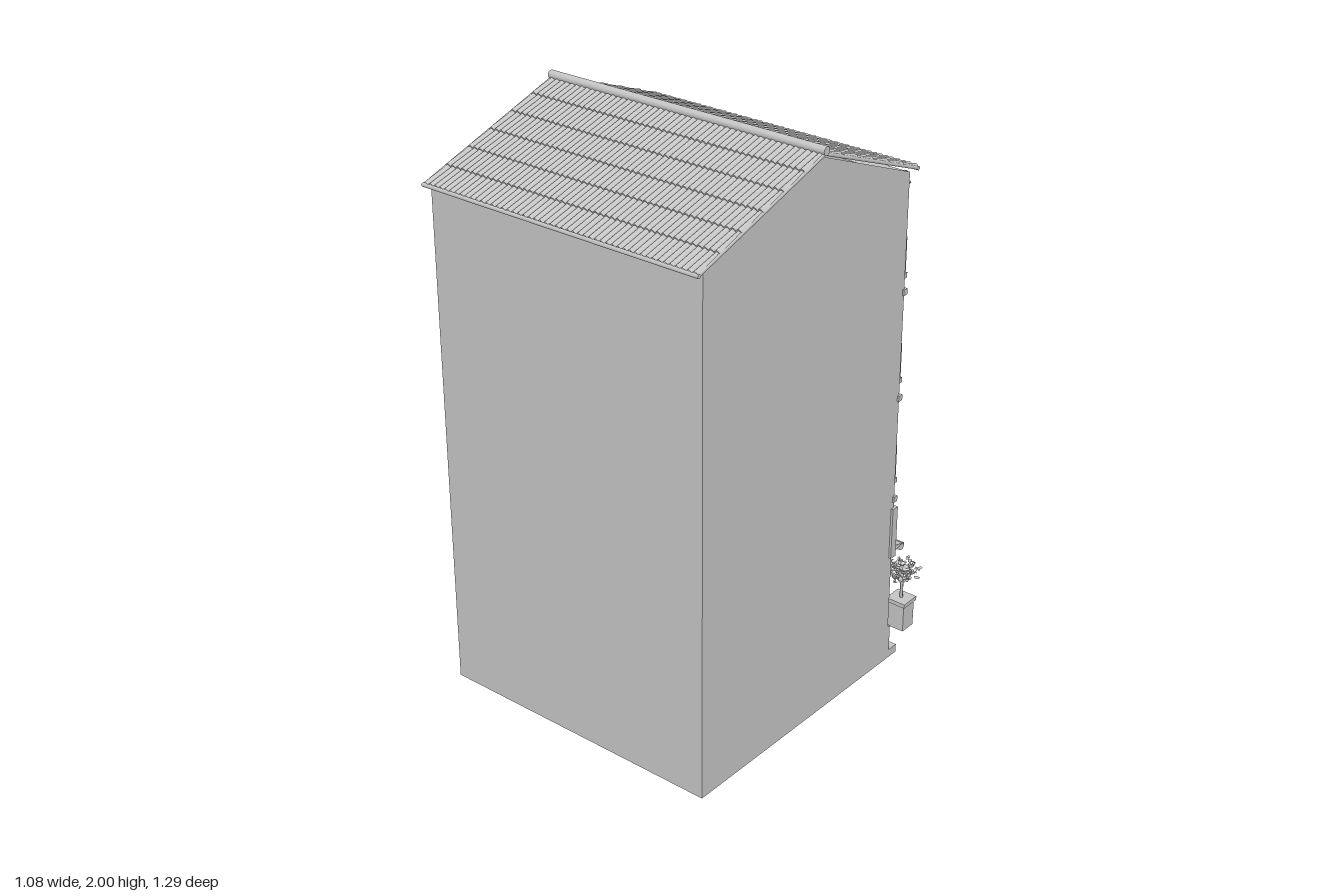
import * as THREE from 'three';
import { mergeGeometries } from 'three/addons/utils/BufferGeometryUtils.js';

const plaster = new THREE.MeshStandardMaterial({ color: 0xc4c4c4, side: THREE.DoubleSide });
plaster.name = 'light grey';
const glass = new THREE.MeshStandardMaterial({ color: 0x86b9cf, side: THREE.DoubleSide });
glass.name = 'blue glass';

let seed = 7;
const rnd = () => ((seed = (seed * 16807) % 2147483647) / 2147483647);
const V = (x, y, z) => new THREE.Vector3(x, y, z);

// Box given by its limits on each axis
function box(x0, x1, y0, y1, z0, z1) {
  return new THREE.BoxGeometry(x1 - x0, y1 - y0, z1 - z0)
    .translate((x0 + x1) / 2, (y0 + y1) / 2, (z0 + z1) / 2);
}

// Thin round bar between two points
function bar(a, b, r, sides = 5) {
  const d = b.clone().sub(a);
  const q = new THREE.Quaternion().setFromUnitVectors(V(0, 1, 0), d.clone().normalize());
  return new THREE.CylinderGeometry(r, r, d.length(), sides)
    .applyQuaternion(q).translate((a.x + b.x) / 2, (a.y + b.y) / 2, (a.z + b.z) / 2);
}

// Ribbed sheet running from a high edge to a low edge, with stepped rows of tiles
function ribbed(x0, x1, ribs, rows, amp, step, [y0, z0], [y1, z1]) {
  const seg = 6, n = ribs * seg, pos = [], idx = [];
  const len = Math.hypot(y1 - y0, z1 - z0);
  const ny = Math.abs(z1 - z0) / len, nz = Math.sign(z1 - z0) * (y0 - y1) / len;
  for (let j = 0; j < rows * 2; j++) {
    const t = Math.ceil(j / 2) / rows, lift = j % 2 ? step : 0;
    for (let i = 0; i <= n; i++) {
      const h = lift + amp * Math.abs(Math.sin((Math.PI * i) / seg));
      pos.push(x0 + ((x1 - x0) * i) / n, y0 + (y1 - y0) * t + ny * h, z0 + (z1 - z0) * t + nz * h);
    }
  }
  for (let j = 0; j < rows * 2 - 1; j++)
    for (let i = 0; i < n; i++) {
      const a = j * (n + 1) + i, b = a + n + 1;
      if (z1 > z0) idx.push(a, b, a + 1, a + 1, b, b + 1);
      else idx.push(a, a + 1, b, a + 1, b + 1, b);
    }
  let g = new THREE.BufferGeometry();
  g.setAttribute('position', new THREE.Float32BufferAttribute(pos, 3));
  g.setIndex(idx);
  g = g.toNonIndexed();
  g.computeVertexNormals();
  return g;
}

// Cloud of small leaf blades inside an ellipsoid
function leaves(c, rx, ry, rz, count, size) {
  const list = [];
  for (let i = 0; i < count; i++) {
    const d = V(rnd() - 0.5, rnd() - 0.5, rnd() - 0.5).normalize().multiplyScalar(0.35 + 0.6 * rnd());
    list.push(new THREE.CircleGeometry(size * (0.7 + 0.6 * rnd()), 5).scale(1, 0.6, 1)
      .rotateX(rnd() * 6).rotateY(rnd() * 6)
      .translate(c.x + d.x * rx, c.y + d.y * ry, c.z + d.z * rz));
  }
  return mergeGeometries(list);
}

export function createModel() {
  const root = new THREE.Group();
  root.name = 'townhouse';
  const add = (name, geos, mat = plaster, parent = root) => {
    const parts = [].concat(geos).map((g) => {
      const f = g.index ? g.toNonIndexed() : g;
      f.deleteAttribute('uv');
      return f;
    });
    const m = new THREE.Mesh(parts.length > 1 ? mergeGeometries(parts) : parts[0], mat);
    m.name = name;
    parent.add(m);
    return m;
  };
  const floors = [0.635, 1.01, 1.385];
  const bays = [-0.255, 0.255];

  // Plain walls, open below
  const gable = new THREE.Shape([[-0.62, 0], [0.38, 0], [0.38, 1.785], [-0.07, 1.965], [-0.62, 1.785]]
    .map(([a, b]) => new THREE.Vector2(a, b)));
  for (const s of [-1, 1]) add('sideWall', new THREE.ShapeGeometry(gable).rotateY(Math.PI / 2).translate(s * 0.53, 0, 0));
  add('plainWall', new THREE.PlaneGeometry(1.06, 1.785).translate(0, 0.8925, 0.62));

  // Street wall with openings for the shop and the balcony doors
  const rect = (P, x0, x1, y0, y1) => {
    const p = new P();
    p.moveTo(x0, y0); p.lineTo(x1, y0); p.lineTo(x1, y1); p.lineTo(x0, y1); p.closePath();
    return p;
  };
  const facade = rect(THREE.Shape, -0.53, 0.53, 0, 1.785);
  facade.holes.push(rect(THREE.Path, -0.49, 0.49, 0.06, 0.37));
  for (const y of floors) for (const x of bays)
    facade.holes.push(rect(THREE.Path, x - 0.12, x + 0.12, y + 0.01, y + 0.285));
  add('streetWall', new THREE.ExtrudeGeometry(facade, { depth: 0.04, bevelEnabled: false }).translate(0, 0, -0.38));
  add('stringCourses', floors.map((y) => box(-0.536, 0.536, y - 0.012, y + 0.008, -0.39, -0.37)));
  add('cornerBlocks', [-1, 1].map((s) => box(s * 0.52 - 0.018, s * 0.52 + 0.018, 0.41, 0.6, -0.393, -0.365)));
  add('plinth', [box(-0.53, 0.53, 0, 0.03, -0.435, -0.375), box(-0.53, 0.53, 0.03, 0.06, -0.39, -0.375),
    ...[-1, 1].map((s) => box(s * 0.51 - 0.02, s * 0.51 + 0.02, 0.03, 0.13, -0.392, -0.375))]);
  add('shopFloor', box(-0.485, 0.485, 0.03, 0.045, -0.37, 0.105));
  for (const s of [-1, 1]) add('drainpipe', bar(V(s * 0.505, 0.13, -0.39), V(s * 0.505, 1.78, -0.39), 0.007, 8));

  // Roof slopes, ridge and eaves
  const ridge = [1.975, 0.07];
  for (const eave of [[1.788, 0.645], [1.788, -0.415]]) {
    add('roofTiles', ribbed(-0.535, 0.535, 50, 6, 0.008, 0.005, ridge, eave));
    add('eaveRail', bar(V(-0.538, eave[0], eave[1]), V(0.538, eave[0], eave[1]), 0.007, 8));
    for (const s of [-1, 1]) add('bargeBoard', bar(V(s * 0.533, ridge[0], ridge[1]), V(s * 0.533, ...eave), 0.006));
    const len = Math.hypot(ridge[0] - eave[0], ridge[1] - eave[1]);
    add('roofUnderside', new THREE.PlaneGeometry(1.07, len)
      .rotateX(Math.PI / 2 + Math.atan2(ridge[0] - eave[0], eave[1] - ridge[1]))
      .translate(0, (ridge[0] + eave[0]) / 2 - 0.003, (ridge[1] + eave[1]) / 2));
  }
  add('ridgeCap', bar(V(-0.54, 1.985, 0.07), V(0.54, 1.985, 0.07), 0.0145, 10));

  // Balcony with railing, shuttered door and ribbed canopy
  function balcony(cx, y) {
    const g = new THREE.Group();
    g.name = 'balcony';
    root.add(g);
    const x0 = cx - 0.21, x1 = cx + 0.21, zf = -0.478, top = y + 0.135;
    add('balconySlab', [box(x0 - 0.004, x1 + 0.004, y - 0.006, y + 0.012, -0.485, -0.37),
      box(x0 + 0.01, x1 - 0.01, y - 0.014, y - 0.006, -0.47, -0.37)], plaster, g);
    const rails = [];
    for (const h of [y + 0.03, top - 0.03, top]) {
      rails.push(bar(V(x0, h, zf), V(x1, h, zf), 0.003));
      for (const x of [x0, x1]) rails.push(bar(V(x, h, zf), V(x, h, -0.38), 0.003));
    }
    const n = 8, w = (x1 - x0) / n;
    for (let i = 0; i <= n; i++) {
      const x = x0 + i * w;
      rails.push(bar(V(x, y, zf), V(x, top, zf), 0.0025, 4));
      if (i < n) {
        rails.push(bar(V(x, y + 0.03, zf), V(x + w, top - 0.03, zf), 0.0018, 4));
        rails.push(bar(V(x + w, y + 0.03, zf), V(x, top - 0.03, zf), 0.0018, 4));
      }
    }
    for (const x of [x0, x1]) for (const z of [-0.43, -0.39]) rails.push(bar(V(x, y, z), V(x, top, z), 0.002, 4));
    add('railing', rails, plaster, g);

    const door = [box(cx - 0.12, cx + 0.12, y, y + 0.285, -0.352, -0.347),
      box(cx - 0.006, cx + 0.006, y + 0.01, y + 0.285, -0.366, -0.35)];
    for (const s of [-1, 1]) {
      door.push(box(cx + s * 0.126 - 0.008, cx + s * 0.126 + 0.008, y + 0.01, y + 0.29, -0.388, -0.36));
      for (let i = 0; i < 16; i++)
        door.push(box(cx + s * 0.062 - 0.046, cx + s * 0.062 + 0.046, y + 0.025 + i * 0.016, y + 0.033 + i * 0.016, -0.36, -0.35));
    }
    door.push(box(cx - 0.134, cx + 0.134, y + 0.285, y + 0.3, -0.388, -0.36));
    add('shutteredDoor', door, plaster, g);

    const ct = y + 0.345;
    add('canopy', ribbed(cx - 0.215, cx + 0.215, 24, 1, 0.005, 0, [ct, -0.38], [ct - 0.026, -0.483]), plaster, g);
    add('canopyStruts', [-0.2, 0.2].flatMap((d) => [
      bar(V(cx + d, ct - 0.045, -0.38), V(cx + d, ct - 0.026, -0.478), 0.003),
      bar(V(cx + d, ct - 0.004, -0.38), V(cx + d, ct - 0.028, -0.48), 0.003)])
      .concat(bar(V(cx - 0.213, ct - 0.026, -0.48), V(cx + 0.213, ct - 0.026, -0.48), 0.003)), plaster, g);

    const px = cx + Math.sign(cx) * 0.15;
    add('balconyPlant', [box(px - 0.02, px + 0.02, y + 0.012, y + 0.055, -0.468, -0.428),
      bar(V(px, y + 0.05, -0.448), V(px, y + 0.15, -0.448), 0.003),
      leaves(V(px, y + 0.165, -0.448), 0.045, 0.035, 0.04, 50, 0.009)], plaster, g);
    add('flowerBowl', [new THREE.CylinderGeometry(0.016, 0.011, 0.025, 8).translate(cx - 0.1, y + 0.025, -0.45),
      leaves(V(cx - 0.1, y + 0.055, -0.45), 0.025, 0.022, 0.022, 18, 0.007)], plaster, g);
  }
  for (const y of floors) for (const x of bays) balcony(x, y);

  // Trailing plant and cooling unit on the +x side
  add('trailingPlant', leaves(V(0.215, 1.05, -0.505), 0.095, 0.12, 0.02, 150, 0.009));
  add('coolingUnit', [box(0.38, 0.47, 0.886, 0.95, -0.42, -0.378),
    new THREE.TorusGeometry(0.022, 0.003, 5, 16).translate(0.415, 0.918, -0.421)]);

  // Shop front: glazing, frames and double door
  add('shopGlass', box(-0.49, 0.49, 0.06, 0.37, -0.362, -0.356), glass);
  const frames = [box(-0.49, 0.49, 0.06, 0.078, -0.374, -0.35), box(-0.49, 0.49, 0.355, 0.37, -0.374, -0.35),
    box(-0.49, 0.49, 0.295, 0.302, -0.37, -0.355)];
  for (const x of [-0.485, -0.32, -0.155, 0.005, 0.165, 0.325, 0.485])
    frames.push(box(x - 0.005, x + 0.005, 0.06, 0.37, -0.374, -0.35));
  for (const x of [-0.143, -0.082, -0.068, -0.007]) frames.push(box(x - 0.006, x + 0.006, 0.06, 0.3, -0.376, -0.355));
  frames.push(bar(V(-0.09, 0.14, -0.384), V(-0.09, 0.22, -0.384), 0.003), bar(V(-0.06, 0.14, -0.384), V(-0.06, 0.22, -0.384), 0.003));
  add('shopFrames', frames);
  add('shopLedge', box(-0.47, 0.47, 0.408, 0.416, -0.455, -0.375));

  // Shop awning with scalloped edge and folding arms
  const cloth = new THREE.Shape();
  cloth.moveTo(-0.465, 0);
  for (let i = 0; i < 20; i++) cloth.absarc(-0.465 + (i + 0.5) * 0.0465, -0.012, 0.02325, Math.PI, 2 * Math.PI, false);
  cloth.lineTo(0.465, 0);
  add('awningValance', new THREE.ShapeGeometry(cloth, 6).translate(0, 0.357, -0.553));
  add('awningCloth', new THREE.PlaneGeometry(0.93, Math.hypot(0.173, 0.05))
    .rotateX(Math.PI / 2).rotateX(-Math.atan2(0.05, 0.173)).translate(0, 0.382, -0.4665));
  add('awningArms', [-0.455, 0.455].flatMap((x) => [bar(V(x, 0.31, -0.38), V(x, 0.355, -0.55), 0.004),
    box(x - 0.01, x + 0.01, 0.305, 0.345, -0.403, -0.378)]).concat(bar(V(-0.465, 0.357, -0.55), V(0.465, 0.357, -0.55), 0.004)));

  // Potted tree and litter bin on the pavement
  add('streetPlanter', [box(0.412, 0.478, 0, 0.1, -0.615, -0.553), box(0.406, 0.484, 0.1, 0.115, -0.621, -0.547),
    bar(V(0.445, 0.11, -0.584), V(0.445, 0.22, -0.584), 0.006),
    bar(V(0.445, 0.17, -0.584), V(0.475, 0.22, -0.61), 0.004), bar(V(0.445, 0.17, -0.584), V(0.415, 0.22, -0.56), 0.004)]);
  add('streetTree', leaves(V(0.445, 0.225, -0.585), 0.065, 0.045, 0.068, 150, 0.011));
  add('litterBin', [new THREE.CylinderGeometry(0.024, 0.02, 0.085, 12).translate(-0.45, 0.05, -0.595),
    box(-0.48, -0.42, 0.105, 0.12, -0.623, -0.565), box(-0.472, -0.428, 0, 0.012, -0.615, -0.575),
    ...[-1, 1].map((s) => bar(V(-0.45 + s * 0.022, 0.01, -0.595), V(-0.45 + s * 0.022, 0.11, -0.595), 0.003))]);

  // Small cats outside the shop
  for (const [x, turn] of [[0.32, 0], [0.17, 0.5], [-0.2, -0.4], [-0.29, 0.3]]) {
    const parts = [new THREE.SphereGeometry(0.015, 10, 8).scale(0.9, 0.95, 1.9).translate(0, 0.036, 0),
      new THREE.SphereGeometry(0.013, 10, 8).translate(0, 0.054, -0.032),
      bar(V(0, 0.042, 0.026), V(0, 0.075, 0.04), 0.003)];
    for (const s of [-1, 1]) {
      parts.push(new THREE.ConeGeometry(0.005, 0.01, 4).translate(s * 0.007, 0.068, -0.032));
      for (const z of [-0.018, 0.018]) parts.push(bar(V(s * 0.008, 0, z), V(s * 0.008, 0.032, z), 0.004));
    }
    const cat = add('cat', parts);
    cat.position.set(x, 0.03, -0.505);
    cat.rotation.y = turn;
    add('catMat', box(x - 0.025, x + 0.025, 0.027, 0.031, -0.535, -0.45));
  }
  return root;
}
